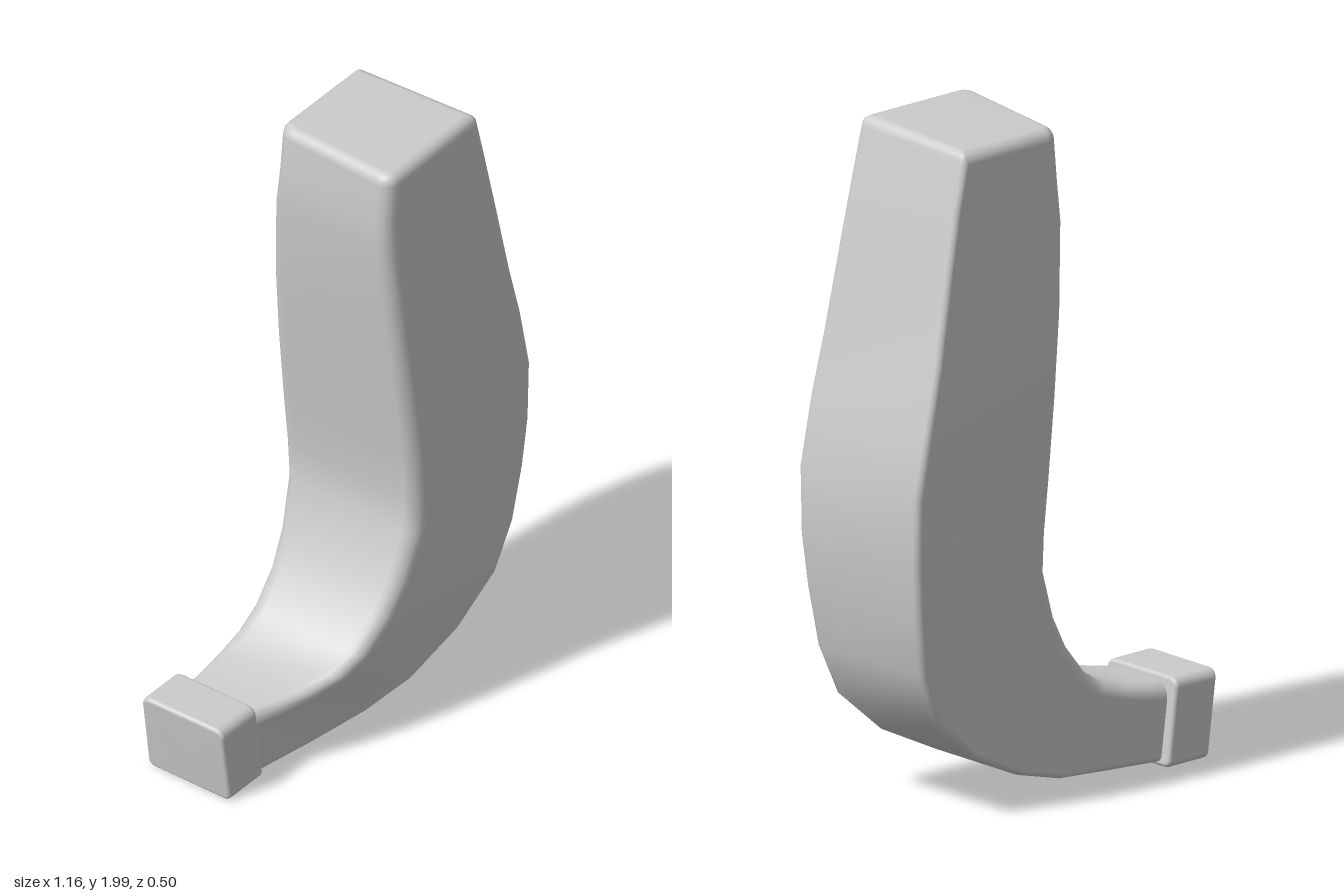
import * as THREE from 'three';

// station: [innerX, innerY, outerX, outerY, frontZ, backZ, skew]
const BODY = [
  [-0.065, 1.965, 0.355, 1.965, 0.24, -0.2, 0.045],
  [-0.072, 1.84, 0.39, 1.83, 0.24, -0.205, 0.045],
  [-0.065, 1.72, 0.43, 1.66, 0.242, -0.217, 0.035],
  [-0.03, 1.45, 0.49, 1.38, 0.25, -0.235, 0.02],
  [0.01, 1.2, 0.54, 1.2, 0.25, -0.248, 0.01],
  [0.045, 0.95, 0.58, 1.0, 0.252, -0.25, 0],
  [0.06, 0.8, 0.58, 0.8, 0.247, -0.248, 0],
  [0.055, 0.68, 0.56, 0.64, 0.242, -0.237, 0],
  [0.0, 0.53, 0.53, 0.46, 0.23, -0.22, 0],
  [-0.055, 0.43, 0.47, 0.31, 0.215, -0.213, 0],
  [-0.13, 0.335, 0.33, 0.18, 0.19, -0.215, 0],
  [-0.2, 0.288, 0.15, 0.09, 0.16, -0.22, 0],
  [-0.29, 0.265, -0.01, 0.046, 0.12, -0.22, 0],
  [-0.36, 0.253, -0.2, 0.03, 0.08, -0.22, 0],
  [-0.45, 0.245, -0.41, 0.014, 0.03, -0.22, 0],
];
const FOOT = [
  [-0.435, 0.265, -0.4, 0.004, 0.042, -0.252, 0],
  [-0.57, 0.265, -0.535, 0.004, 0.042, -0.252, 0],
];

// Rounded-rectangle ring spanning inner edge to outer edge, shrunk by inset and shifted by (dx, dy)
function ring([ax, ay, bx, by, zf, zb, skew], ri, ro, inset = 0, dx = 0, dy = 0) {
  const L = Math.hypot(bx - ax, by - ay), pts = [], steps = 5;
  const corners = [[0, 1, ri, Math.PI], [1, 1, ro, 1.5 * Math.PI], [1, 0, ro, 0], [0, 0, ri, 0.5 * Math.PI]];
  for (const [right, front, radius, start] of corners) {
    const r = Math.max(radius - inset, 0.004);
    const cu = right ? L - inset - r : inset + r;
    const cz = front ? zf - inset - r : zb + inset + r;
    for (let k = 0; k <= steps; k++) {
      const t = start + (k / steps) * Math.PI / 2;
      const u = (cu + r * Math.cos(t)) / L, z = cz - r * Math.sin(t);
      const back = (zf - z) / (zf - zb);
      pts.push([ax + (bx - ax) * u + skew * (1 - u) * back + dx, ay + (by - ay) * u - 0.5 * skew * back + dy, z]);
    }
  }
  return pts;
}

// Skins the stations, with rounded end rims and closed caps
function loft(stations, ri, ro, bevel) {
  const rim = (s, sign) => {
    const L = Math.hypot(s[2] - s[0], s[3] - s[1]);
    const nx = -(s[3] - s[1]) / L * sign, ny = (s[2] - s[0]) / L * sign;
    return [1, 2, 3, 4].map(k => {
      const a = (k / 4) * Math.PI / 2, out = bevel * Math.sin(a);
      return ring(s, ri, ro, bevel * (1 - Math.cos(a)), nx * out, ny * out);
    });
  };
  const rings = [
    ...rim(stations[0], 1).reverse(),
    ...stations.map(s => ring(s, ri, ro)),
    ...rim(stations[stations.length - 1], -1),
  ];
  const n = rings[0].length, pos = rings.flat(2), index = [];
  for (let i = 0; i < rings.length - 1; i++) {
    for (let j = 0; j < n; j++) {
      const k = (j + 1) % n, a = i * n + j, b = i * n + k, c = a + n, d = b + n;
      index.push(c, d, b, c, b, a);
    }
  }
  // End caps
  [[0, false], [rings.length - 1, true]].forEach(([i, flip]) => {
    const centre = pos.length / 3;
    for (let c = 0; c < 3; c++) pos.push(rings[i].reduce((sum, p) => sum + p[c], 0) / n);
    for (let j = 0; j < n; j++) {
      const a = i * n + j, b = i * n + (j + 1) % n;
      index.push(centre, flip ? b : a, flip ? a : b);
    }
  });
  const g = new THREE.BufferGeometry();
  g.setAttribute('position', new THREE.Float32BufferAttribute(pos, 3));
  g.setIndex(index);
  g.computeVertexNormals();
  return g;
}

export function createModel() {
  const group = new THREE.Group();
  group.name = 'curvedHandle';
  const material = new THREE.MeshStandardMaterial({ color: 0xcccccc });
  const add = (name, geometry) => {
    const mesh = new THREE.Mesh(geometry, material);
    mesh.name = name;
    group.add(mesh);
  };
  // Curved, tapering arm
  add('curvedArm', loft(BODY, 0.05, 0.022, 0.035));
  // Small block closing the narrow end
  add('endBlock', loft(FOOT, 0.03, 0.02, 0.012));
  return group;
}
